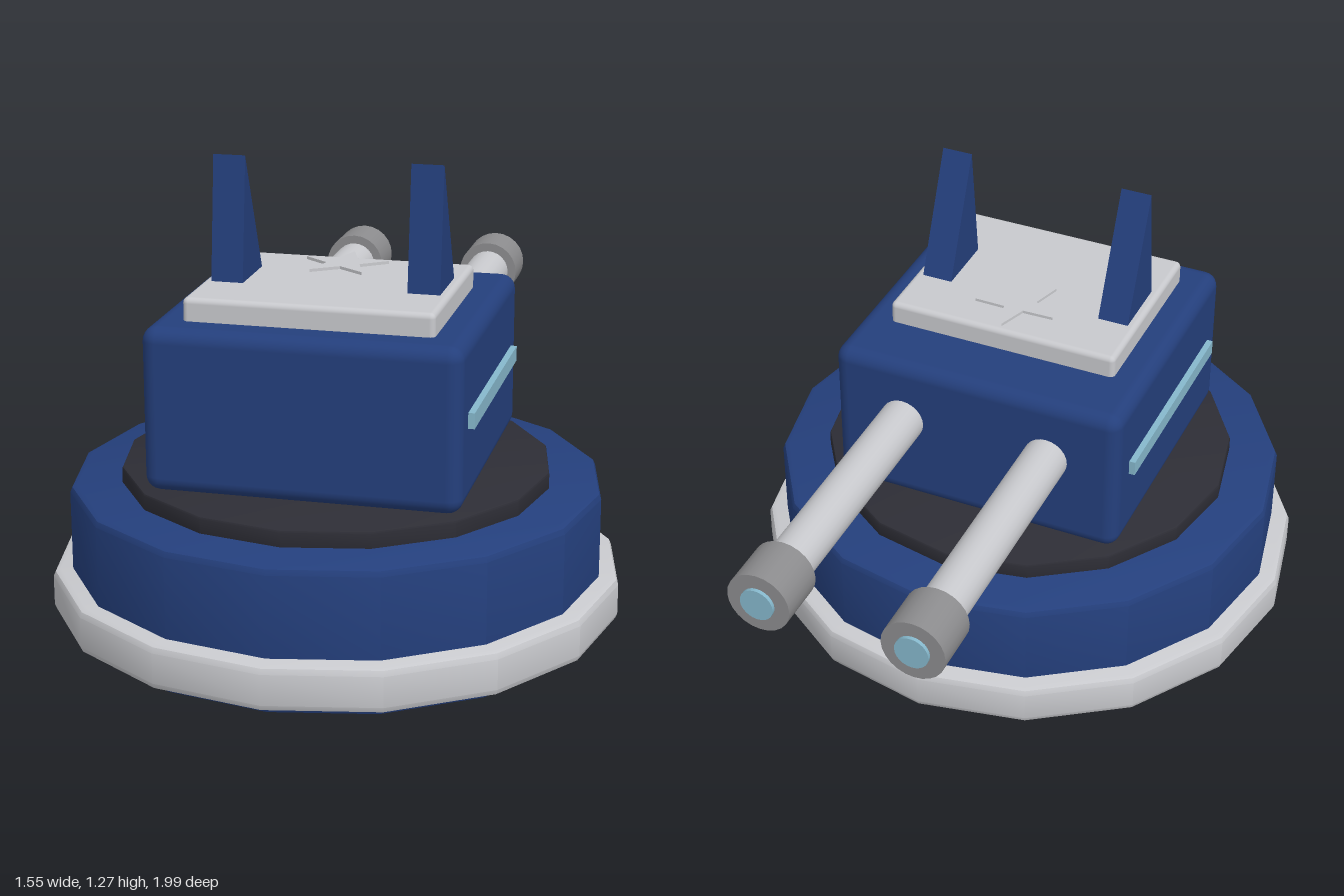
import * as THREE from 'three';
import { toCreasedNormals } from 'three/addons/utils/BufferGeometryUtils.js';
import { RoundedBoxGeometry } from 'three/addons/geometries/RoundedBoxGeometry.js';

const paint = (name, color) => {
  const m = new THREE.MeshStandardMaterial({ color });
  m.name = name;
  return m;
};

export function createModel() {
  const blue = paint('navy blue', 0x243f7c);
  const silver = paint('light grey', 0xc8c9cd);
  const dark = paint('charcoal', 0x2d2d35);
  const steel = paint('steel grey', 0x8c8c8e);
  const cyan = paint('pale cyan', 0x86b8cc);

  const model = new THREE.Group();
  model.name = 'turret';
  const baseZ = 0.22;

  const add = (name, geometry, material, x, y, z) => {
    const mesh = new THREE.Mesh(geometry, material);
    mesh.name = name;
    mesh.position.set(x, y, z);
    model.add(mesh);
    return mesh;
  };

  // Sixteen-sided disc with bevelled rims
  const disc = (name, radius, y0, y1, bevel, material) => {
    const k = bevel * 0.3;
    const profile = [
      [0, y0], [radius - bevel, y0], [radius - k, y0 + k], [radius, y0 + bevel],
      [radius, y1 - bevel], [radius - k, y1 - k], [radius - bevel, y1], [0, y1],
    ].map(([r, y]) => new THREE.Vector2(r, y));
    const geometry = toCreasedNormals(new THREE.LatheGeometry(profile, 16), 0.55);
    add(name, geometry, material, 0, 0, baseZ);
  };
  disc('base', 0.72, 0, 0.39, 0.02, blue);
  disc('baseRing', 0.773, 0.03, 0.152, 0.02, silver);
  disc('turntable', 0.58, 0.38, 0.435, 0.006, dark);

  // Rounded housing and its roof plate
  add('housing', new RoundedBoxGeometry(0.836, 0.44, 0.79, 3, 0.04), blue, 0, 0.655, 0.223);
  add('roofPlate', new RoundedBoxGeometry(0.66, 0.075, 0.52, 3, 0.015), silver, 0, 0.899, 0.268);

  // Raised star on the roof, pointing to the back
  const star = new THREE.Shape();
  for (let i = 0; i < 10; i++) {
    const r = i % 2 ? 0.048 : 0.12;
    const a = Math.PI / 2 + (i * Math.PI) / 5;
    star[i ? 'lineTo' : 'moveTo'](r * Math.cos(a), r * Math.sin(a));
  }
  star.closePath();
  const starGeometry = new THREE.ExtrudeGeometry(star, { depth: 0.008, bevelEnabled: false });
  starGeometry.rotateX(-Math.PI / 2);
  add('roofStar', starGeometry, silver, 0, 0.946, 0.135);

  // Fin outline in the side plane, extruded across x
  const fin = new THREE.Shape();
  fin.moveTo(-0.35, 0.93);
  fin.lineTo(-0.165, 0.93);
  fin.lineTo(-0.312, 1.268);
  fin.closePath();
  const finGeometry = new THREE.ExtrudeGeometry(fin, { depth: 0.086, bevelEnabled: false });
  finGeometry.translate(0, 0, -0.043);
  finGeometry.rotateY(Math.PI / 2);

  // Cylinder lying along z between two depths
  const rod = (name, radius, z0, z1, material, x) => {
    const geometry = new THREE.CylinderGeometry(radius, radius, z1 - z0, 24);
    geometry.rotateX(Math.PI / 2);
    add(name, geometry, material, x, 0.695, (z0 + z1) / 2);
  };

  for (const side of [1, -1]) {
    const label = side > 0 ? 'left' : 'right';
    add(label + 'Fin', finGeometry, blue, side * 0.263, 0, 0);
    add(label + 'LightStrip', new THREE.BoxGeometry(0.03, 0.042, 0.615), cyan, side * 0.42, 0.666, 0.224);
    rod(label + 'Barrel', 0.062, -0.9, -0.1, silver, side * 0.212);
    rod(label + 'Muzzle', 0.087, -0.99, -0.85, steel, side * 0.212);
    rod(label + 'MuzzleLens', 0.046, -1.0, -0.96, cyan, side * 0.212);
  }

  return model;
}
